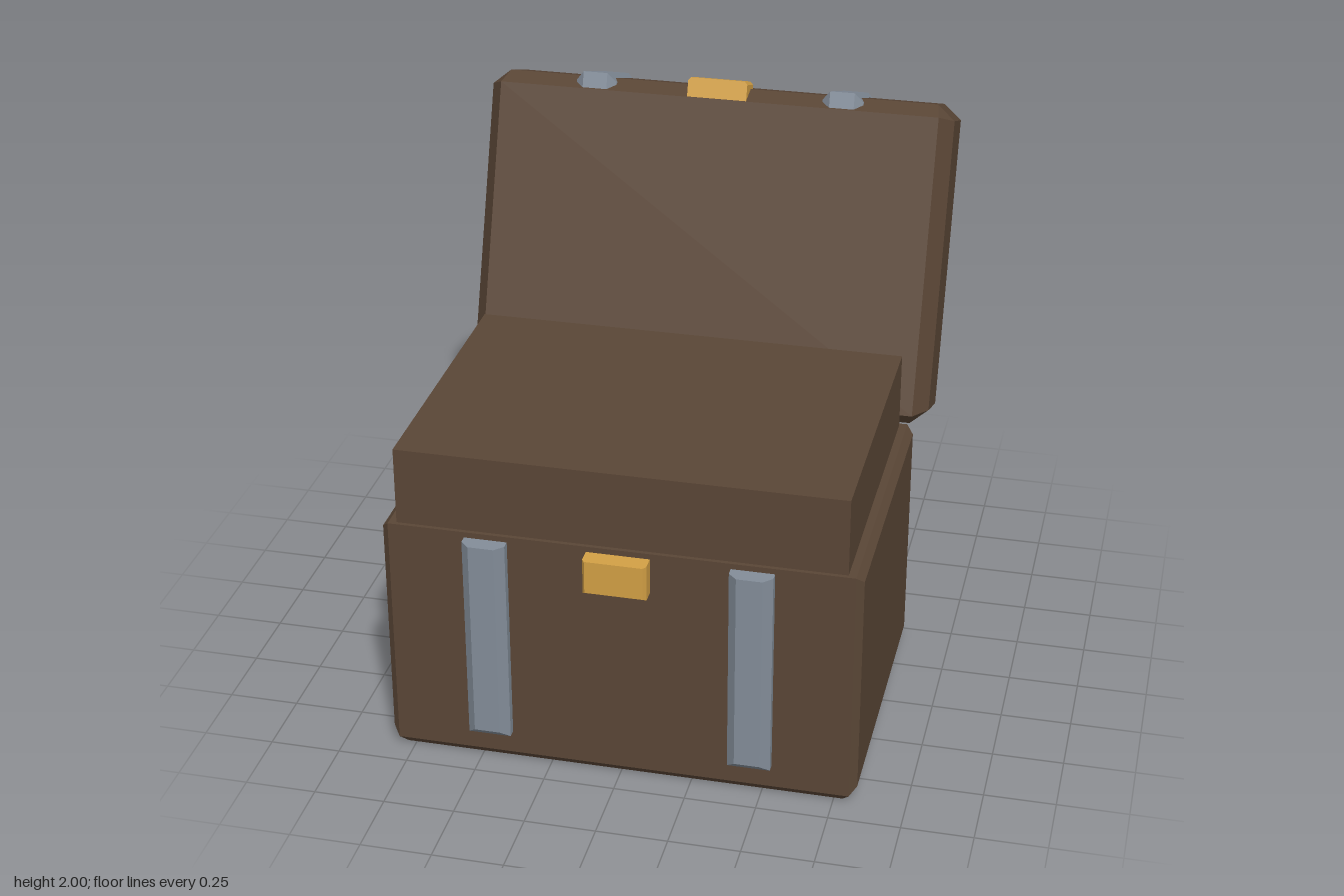
import * as THREE from 'three';
import { ConvexGeometry } from 'three/addons/geometries/ConvexGeometry.js';

const material = (color) => new THREE.MeshStandardMaterial({ color, flatShading: true });

// Rectangle with cut corners: half width, range on the second axis, level on the third
function ring(hx, a0, a1, level, cutX = 0, cutA = cutX) {
  const points = [];
  for (const s of [-1, 1]) {
    for (const [a, dir] of [[a0, 1], [a1, -1]]) {
      points.push([s * (hx - cutX), a, level]);
      if (cutX) points.push([s * hx, a + dir * cutA, level]);
    }
  }
  return points;
}

// Bevelled solid spanning several rings; stacked along z (a = y) or along y (a = z)
function solid(name, mat, axis, rings) {
  const points = rings.flat().map(([x, a, l]) =>
    axis === 'z' ? new THREE.Vector3(x, a, l) : new THREE.Vector3(x, l, a));
  const mesh = new THREE.Mesh(new ConvexGeometry(points), mat);
  mesh.name = name;
  return mesh;
}

export function createModel() {
  const wood = material(0x5a4636);
  const iron = material(0x838d99);
  const brass = material(0xd3a045);
  const model = new THREE.Group();
  model.name = 'openChest';

  // Body with bevelled sides and base
  model.add(solid('body', wood, 'y', [
    ring(0.78, -0.175, 0.88, 0),
    ring(0.805, -0.2, 0.905, 0.03),
    ring(0.83, -0.2, 0.905, 0.06, 0.025),
    ring(0.83, -0.2, 0.905, 0.875, 0.025),
    ring(0.805, -0.2, 0.905, 0.9),
  ]));

  // Raised inner block
  const inner = new THREE.Mesh(new THREE.BoxGeometry(1.555, 0.3, 1.075), wood);
  inner.name = 'innerBlock';
  inner.position.set(0, 1.03, 0.353);
  model.add(inner);

  // Vertical straps on the front and back of the body
  for (const [name, z, dir] of [['frontStrap', 0.9, 1], ['backStrap', -0.19, -1]]) {
    for (const x of [-0.46, 0.46]) {
      const strap = solid(name, iron, 'z', [
        ring(0.075, 0.115, 0.88, z),
        ring(0.075, 0.115, 0.88, z + dir * 0.035),
        ring(0.045, 0.145, 0.88, z + dir * 0.065),
      ]);
      strap.position.x = x;
      model.add(strap);
    }
  }

  // Lower half of the clasp
  model.add(solid('lowerClasp', brass, 'z', [
    ring(0.11, 0.75, 0.88, 0.89),
    ring(0.11, 0.75, 0.88, 0.955),
    ring(0.1, 0.76, 0.88, 0.97),
  ]));

  // Lid, tipped back about its lower inner edge
  const lid = new THREE.Group();
  lid.name = 'lid';
  lid.position.set(0, 0.908, -0.237);
  lid.rotation.x = THREE.MathUtils.degToRad(-20);
  model.add(lid);

  lid.add(solid('lidShell', wood, 'z', [
    ring(0.815, 0.005, 1.09, 0),
    ring(0.865, -0.03, 1.135, -0.075, 0.065, 0.055),
    ring(0.865, -0.03, 1.135, -0.28, 0.065, 0.055),
    ring(0.8, 0.01, 1.09, -0.33),
  ]));

  // Straps wrapping the lid
  for (const x of [-0.46, 0.46]) {
    const strap = solid('lidStrap', iron, 'y', [
      ring(0.045, -0.345, -0.005, -0.05),
      ring(0.075, -0.37, -0.005, -0.02, 0.03),
      ring(0.075, -0.37, -0.005, 1.12, 0.03),
      ring(0.045, -0.345, -0.005, 1.152),
    ]);
    strap.position.x = x;
    lid.add(strap);
  }

  // Upper half of the clasp
  lid.add(solid('upperClasp', brass, 'y', [
    ring(0.11, -0.12, -0.002, 1.08),
    ring(0.11, -0.12, -0.002, 1.15),
    ring(0.1, -0.11, -0.002, 1.162),
  ]));

  return model;
}
